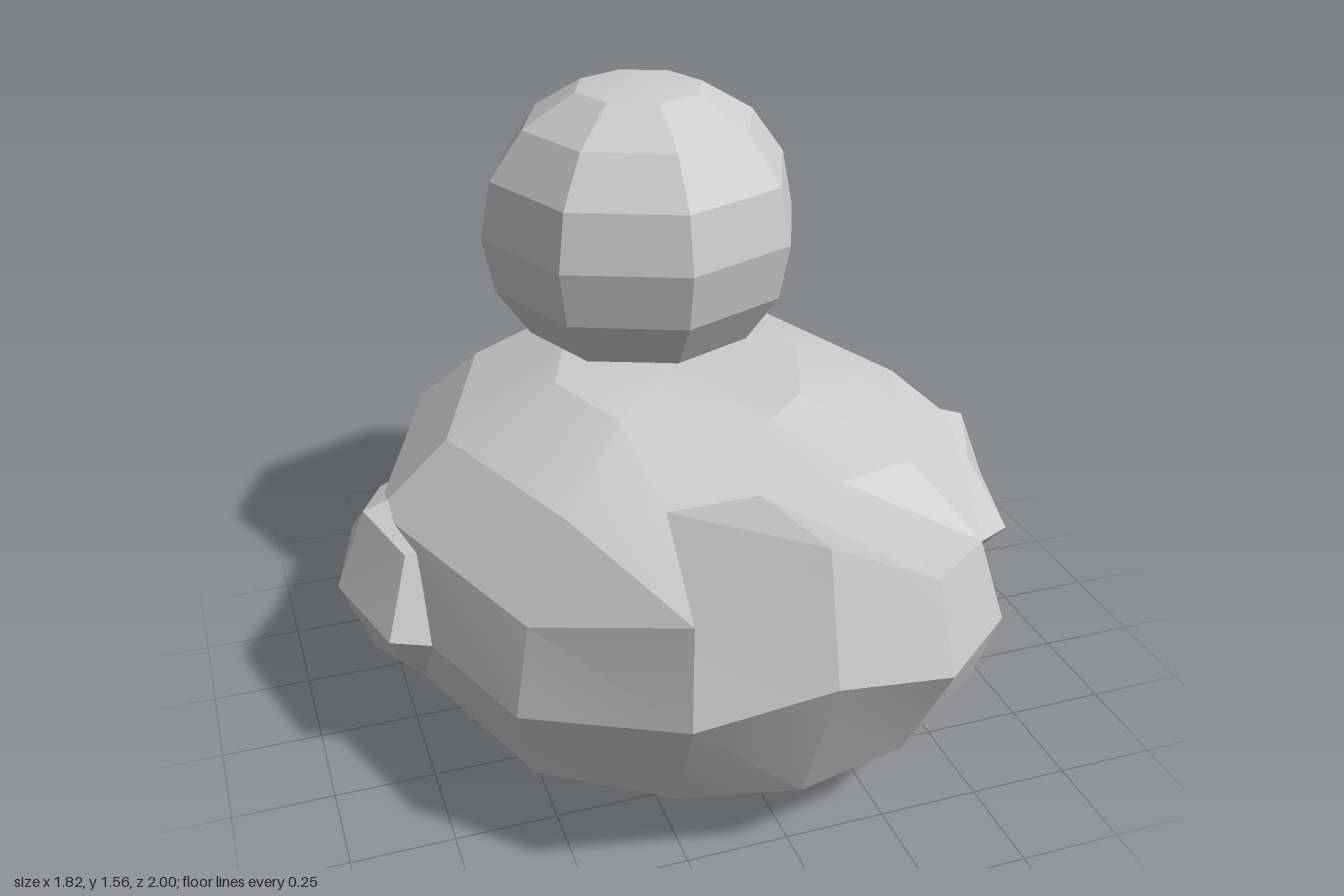
import * as THREE from 'three';
import { toCreasedNormals } from 'three/addons/utils/BufferGeometryUtils.js';

const material = new THREE.MeshStandardMaterial({ color: 0xcccccc });

// Skins a series of cross-sections and closes both ends with fans.
function loft(name, rings, endPoint) {
  const n = rings[0].length;
  const average = (ring) => [0, 1, 2].map((k) => ring.reduce((s, p) => s + p[k], 0) / n);
  const first = rings[0];
  const last = rings[rings.length - 1];
  const startCentre = average(first);
  const endCentre = endPoint || average(last);
  const out = [];
  const tri = (a, b, c) => out.push(...a, ...b, ...c);
  for (let j = 0; j < n; j++) {
    const k = (j + 1) % n;
    tri(startCentre, first[j], first[k]);
    for (let i = 0; i < rings.length - 1; i++) {
      const [lo, hi] = [rings[i], rings[i + 1]];
      tri(lo[j], hi[j], hi[k]);
      tri(lo[j], hi[k], lo[k]);
    }
    tri(endCentre, last[k], last[j]);
  }
  const geometry = new THREE.BufferGeometry();
  geometry.setAttribute('position', new THREE.Float32BufferAttribute(out, 3));
  const mesh = new THREE.Mesh(toCreasedNormals(geometry, 0.3), material);
  mesh.name = name;
  return mesh;
}

// Body: flattened ellipsoid whose rear is pulled up into a pointed tail
function makeBody() {
  const outline = [[0, -0.95], [0.305, -0.88], [0.61, -0.67], [0.86, 0], [0.61, 0.67], [0.305, 0.88], [0, 0.95]];
  // height, scale, and optional [y, z] for the tail's side and middle points
  const levels = [
    { y: 0, f: 0.38 },
    { y: 0.04, f: 0.707 },
    { y: 0.205, f: 0.924 },
    { y: 0.41, f: 1, side: [0.525, 0.94], mid: [0.605, 1.0] },
    { y: 0.61, f: 0.924, side: [0.75, 0.885], mid: [0.91, 0.925] },
    { y: 0.78, f: 0.707, side: [0.80, 0.5], mid: [0.82, 0.53] },
    { y: 0.89, f: 0.38, side: [0.86, 0.27], mid: [0.855, 0.29] },
  ];
  const rings = levels.map(({ y, f, side, mid }) => {
    const half = outline.map(([x, z]) => [x * f, y, -0.05 + z * f]);
    if (side) half[5].splice(1, 2, ...side);
    if (mid) half[6].splice(1, 2, ...mid);
    const mirrored = half.slice(1, 6).reverse().map(([x, py, z]) => [-x, py, z]);
    return [...half, ...mirrored];
  });
  return loft('body', rings, [0, 0.895, -0.08]);
}

// Head: eight-sided faceted ball
function makeHead() {
  const levels = [[0.81, 0.17], [0.895, 0.31], [1.025, 0.4], [1.175, 0.43], [1.325, 0.4], [1.45, 0.31], [1.535, 0.17]];
  const rings = levels.map(([y, r]) => Array.from({ length: 8 }, (_, i) => {
    const a = (i * Math.PI) / 4;
    return [r * Math.sin(a), y, -0.36 - r * Math.cos(a)];
  }));
  return loft('head', rings, [0, 1.56, -0.36]);
}

// Wing: octagonal domed pad, its base sunk into the body
function makeWing(name, side) {
  const ring = (scale, inset) => Array.from({ length: 8 }, (_, i) => {
    const a = (i * Math.PI) / 4;
    const diagonal = i % 2 === 1;
    const spread = diagonal ? 1.15 : 1;
    return [
      side * ((diagonal ? 0.76 : 0.83) - inset),
      0.41 + 0.205 * spread * scale * Math.cos(a),
      -0.05 - 0.29 * (diagonal ? 0.88 : 1) * scale * Math.sin(a),
    ];
  });
  const rings = [ring(1.1, 0.25), ring(1.16, 0.1), ring(1, 0)];
  if (side < 0) rings.forEach((r) => r.reverse());
  return loft(name, rings, [side * 0.91, 0.41, -0.05]);
}

// Bill: ridged slab narrowing to a blunt tip
function makeBill() {
  const section = (w, zMid, zSide, top, upper, lower, bottom) => [
    [0, top, zMid], [-w, upper, zSide], [-w, lower, zSide],
    [0, bottom, zMid], [w, lower, zSide], [w, upper, zSide],
  ];
  return loft('bill', [
    section(0.15, -0.69, -0.71, 1.17, 1.12, 1.08, 1.02),
    section(0.15, -0.79, -0.89, 1.17, 1.125, 1.075, 1.02),
    section(0.005, -0.955, -0.95, 1.13, 1.13, 1.07, 1.07),
  ]);
}

export function createModel() {
  const model = new THREE.Group();
  model.name = 'duck';
  model.add(makeBody(), makeHead(), makeBill(), makeWing('leftWing', 1), makeWing('rightWing', -1));
  return model;
}
